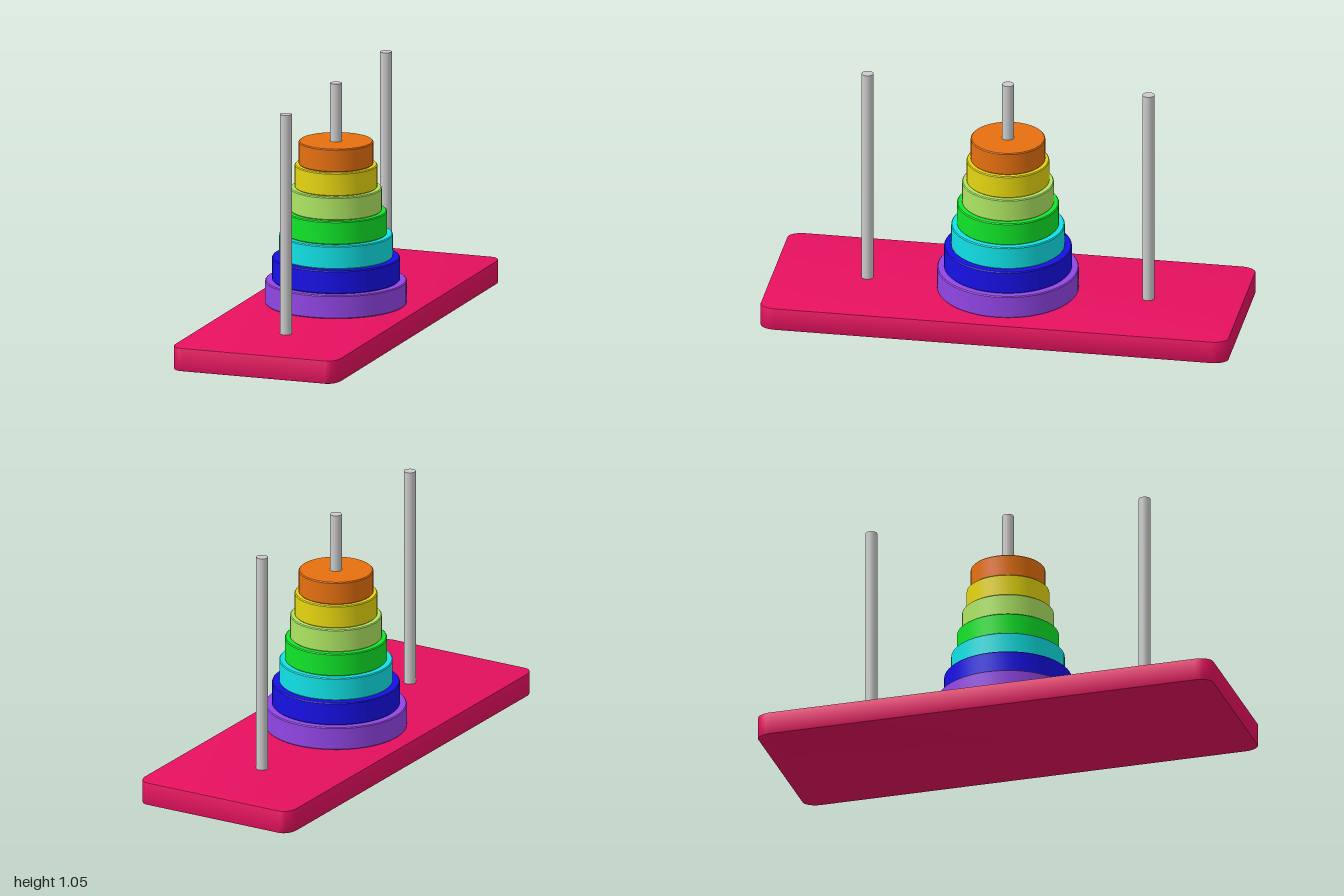
import * as THREE from 'three';
import { toCreasedNormals } from 'three/addons/utils/BufferGeometryUtils.js';

const BASE_H = 0.1, DISC_H = 0.1, PEG_R = 0.025, PEG_TOP = 1.05, BEVEL = 0.004;

function part(name, geometry, color, parent) {
  const mesh = new THREE.Mesh(geometry, new THREE.MeshStandardMaterial({ color }));
  mesh.name = name;
  parent.add(mesh);
  return mesh;
}

// Flat board with rounded corners and finely bevelled edges
function boardGeometry() {
  const w = 0.373 - BEVEL, d = 1 - BEVEL, rx = 0.045, rz = 0.065;
  const s = new THREE.Shape();
  s.absellipse(w - rx, d - rz, rx, rz, 0, Math.PI / 2);
  s.absellipse(-w + rx, d - rz, rx, rz, Math.PI / 2, Math.PI);
  s.absellipse(-w + rx, -d + rz, rx, rz, Math.PI, Math.PI * 1.5);
  s.absellipse(w - rx, -d + rz, rx, rz, Math.PI * 1.5, Math.PI * 2);
  const g = new THREE.ExtrudeGeometry(s, {
    depth: BASE_H - 2 * BEVEL, bevelSize: BEVEL, bevelThickness: BEVEL,
    bevelSegments: 2, curveSegments: 10,
  });
  g.rotateX(-Math.PI / 2).translate(0, BEVEL, 0);
  return toCreasedNormals(g, 0.5);
}

// Ring with a bore for the peg and softened rims
function discGeometry(r) {
  const h = DISC_H, b = BEVEL;
  const profile = [
    [PEG_R, 0], [r - b, 0], [r, b], [r, h - b], [r - b, h], [PEG_R, h], [PEG_R, 0],
  ].map(([x, y]) => new THREE.Vector2(x, y));
  return toCreasedNormals(new THREE.LatheGeometry(profile, 64), 0.5);
}

export function createModel() {
  const model = new THREE.Group();
  model.name = 'stackingTower';

  part('base', boardGeometry(), 0xe6105f, model);

  // Three pegs in a row along the board
  const pegH = PEG_TOP - BASE_H;
  ['backPeg', 'middlePeg', 'frontPeg'].forEach((name, i) => {
    const peg = part(name, new THREE.CylinderGeometry(PEG_R, PEG_R, pegH, 32), 0xcccccc, model);
    peg.position.set(0, BASE_H + pegH / 2, (i - 1) * 0.6);
  });

  // Discs, largest at the bottom
  const discs = new THREE.Group();
  discs.name = 'discs';
  model.add(discs);
  [
    ['purpleDisc', 0.298, 0x9245e6],
    ['blueDisc', 0.269, 0x1710e6],
    ['cyanDisc', 0.239, 0x10e2e6],
    ['greenDisc', 0.215, 0x10e629],
    ['limeDisc', 0.193, 0xaee663],
    ['yellowDisc', 0.174, 0xe6d610],
    ['orangeDisc', 0.157, 0xe67010],
  ].forEach(([name, r, color], i) => {
    part(name, discGeometry(r), color, discs).position.y = BASE_H + i * DISC_H;
  });

  return model;
}
